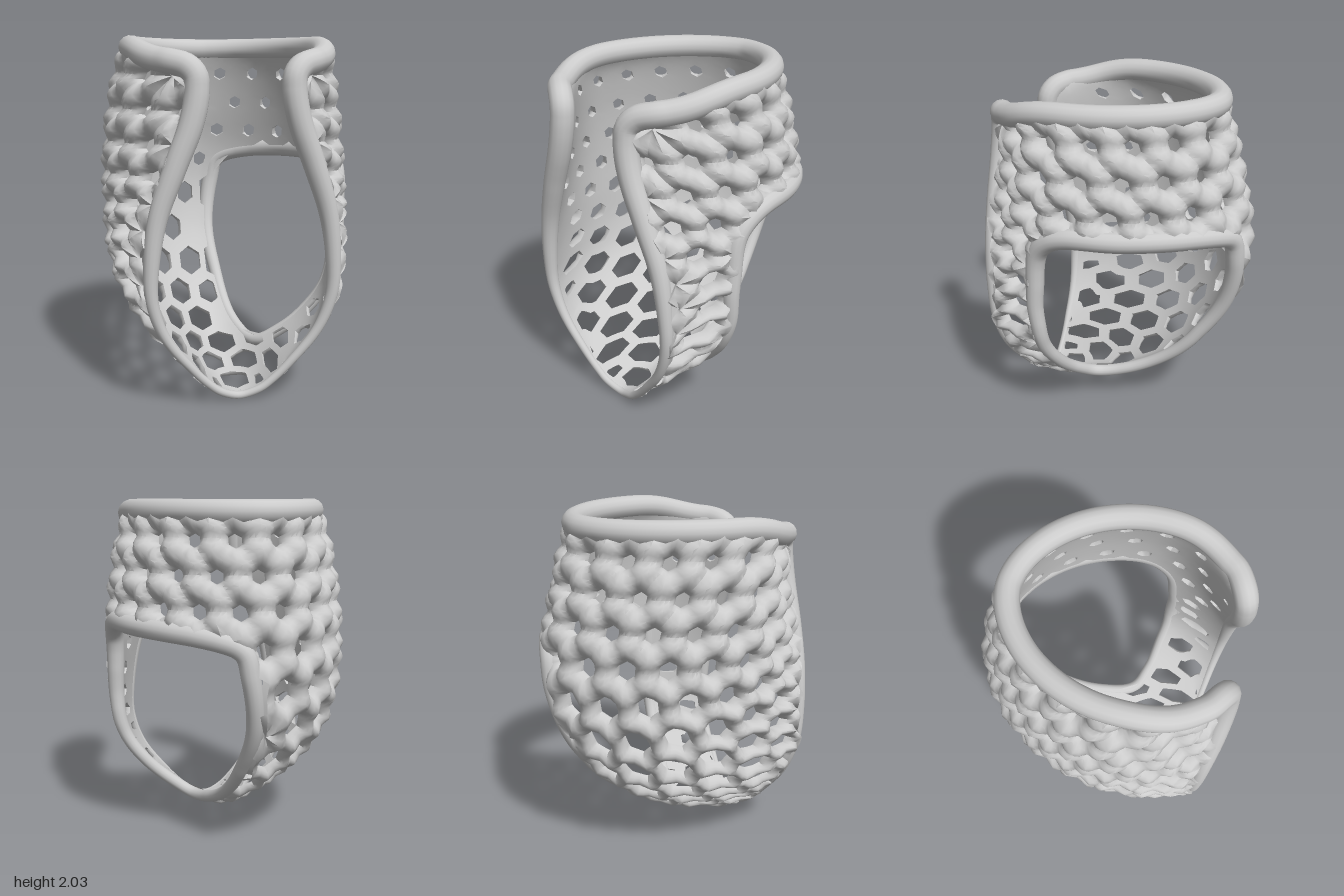
import * as THREE from 'three';
import { toCreasedNormals } from 'three/addons/utils/BufferGeometryUtils.js';

// Sections: y, half width, back z, z of widest point, front edge x, front edge z, rise of the lattice row toward the front
const SECTIONS = [
  [0.037, 0.02, 0.545, 0.555, 0.02, 0.56, 0],
  [0.06, 0.085, 0.39, 0.57, 0.085, 0.575, 0.065],
  [0.1, 0.145, 0.23, 0.575, 0.145, 0.585, 0.15],
  [0.2, 0.25, -0.03, 0.575, 0.245, 0.6, 0.26],
  [0.4, 0.445, -0.32, 0.42, 0.4, 0.625, 0.31],
  [0.6, 0.565, -0.48, 0.26, 0.47, 0.64, 0.27],
  [0.8, 0.605, -0.59, 0.16, 0.47, 0.645, 0.2],
  [1.05, 0.61, -0.65, 0.12, 0.43, 0.645, 0.1],
  [1.3, 0.61, -0.64, 0.12, 0.345, 0.65, 0.02],
  [1.55, 0.59, -0.58, 0.13, 0.255, 0.65, 0],
  [1.75, 0.555, -0.53, 0.15, 0.225, 0.64, 0],
  [1.86, 0.525, -0.495, 0.165, 0.26, 0.62, -0.005],
  [1.93, 0.485, -0.468, 0.17, 0.38, 0.57, -0.015],
];
const ROWS = SECTIONS.length, LEVELS = 200, STEPS = 48;
const { lerp, clamp, smoothstep } = THREE.MathUtils;

// Smooth interpolation of the section table at height y
function section(y) {
  let i = 0;
  while (i < ROWS - 2 && SECTIONS[i + 1][0] < y) i++;
  const a = SECTIONS[i], b = SECTIONS[i + 1], gap = b[0] - a[0], t = clamp((y - a[0]) / gap, 0, 1);
  const slope = (k, c) => {
    const lo = SECTIONS[Math.max(k - 1, 0)], hi = SECTIONS[Math.min(k + 1, ROWS - 1)];
    return (hi[c] - lo[c]) / (hi[0] - lo[0]) * gap;
  };
  return a.map((f, c) => {
    const d = b[c] - f, m = slope(i, c), n = slope(i + 1, c);
    return f + t * (m + t * (3 * d - 2 * m - n + t * (m + n - 2 * d)));
  });
}
// Point of a section; q runs 0 (spine) to 1 (front edge)
function sectionPoint(y, q) {
  const [, w, b, zc, xr, zr] = section(y);
  if (q < 0.6) {
    const a = q / 0.6 * Math.PI / 2;
    return new THREE.Vector3(w * Math.pow(Math.sin(a), 1.15), y, zc - (zc - b) * Math.cos(a));
  }
  const s = (q - 0.6) / 0.4;
  return new THREE.Vector3(w - (w - xr) * s * s, y, lerp(zc, zr, s));
}

// Half rows (spine to front edge) resampled by arc length, with a running height V
function buildLevels() {
  const levels = [];
  for (let k = 0; k <= LEVELS; k++) {
    const r = k / LEVELS * (ROWS - 1), i = Math.min(Math.floor(r), ROWS - 2);
    const y = lerp(SECTIONS[i][0], SECTIONS[i + 1][0], r - i), rise = section(y)[6];
    const raw = [], len = [0], pts = [];
    for (let j = 0; j <= 100; j++) {
      raw.push(sectionPoint(y + rise * Math.sin(j / 200 * Math.PI) ** 2, j / 100));
      if (j) len.push(len[j - 1] + raw[j].distanceTo(raw[j - 1]));
    }
    const L = len[100];
    for (let j = 0, n = 1; j <= STEPS; j++) {
      const d = L * j / STEPS;
      while (n < 100 && len[n] < d) n++;
      pts.push(raw[n - 1].clone().lerp(raw[n], clamp((d - len[n - 1]) / (len[n] - len[n - 1]), 0, 1)));
    }
    const prev = levels[k - 1];
    const V = prev ? prev.V + 0.5 * (pts[0].distanceTo(prev.pts[0]) + pts[STEPS].distanceTo(prev.pts[STEPS])) : 0;
    levels.push({ y, V, L, pts });
  }
  return levels;
}
const levels = buildLevels(), VMAX = levels[LEVELS].V;

function locate(v) {
  let lo = 0, hi = LEVELS;
  while (hi - lo > 1) {
    const m = (lo + hi) >> 1;
    if (levels[m].V <= v) lo = m; else hi = m;
  }
  return [lo, clamp((v - levels[lo].V) / (levels[hi].V - levels[lo].V), 0, 1)];
}
function halfLength(v) {
  const [k, f] = locate(v);
  return lerp(levels[k].L, levels[k + 1].L, f);
}

// Point on the shell; s runs -1..1 across, v is height along the shell
function surface(s, v) {
  const [k, f] = locate(v);
  const q = Math.min(Math.abs(s), 1) * STEPS, j = Math.min(Math.floor(q), STEPS - 1);
  const at = l => l.pts[j].clone().lerp(l.pts[j + 1], q - j);
  const p = at(levels[k]).lerp(at(levels[k + 1]), f);
  if (s < 0) p.x *= -1;
  return p;
}
function shellPoint(s, v, offset) {
  const p = surface(s, v);
  const ds = surface(Math.min(s + 0.03, 1), v).sub(surface(Math.max(s - 0.03, -1), v));
  const dv = surface(s, Math.min(v + 0.03, VMAX)).sub(surface(s, Math.max(v - 0.03, 0)));
  return p.addScaledVector(dv.cross(ds).normalize(), offset);
}

// Side window outline in space, laid onto the shell as (distance from spine, v)
const WINDOW = [[0.24, 1.29, -0.6], [0.55, 1.315, -0.2], [0.61, 1.29, 0.14], [0.61, 1.17, 0.27], [0.6, 0.9, 0.275],
  [0.58, 0.65, 0.27], [0.46, 0.42, 0.26], [0.33, 0.28, 0.21], [0.18, 0.195, 0.12], [0.1, 0.25, -0.1],
  [0.045, 0.5, -0.4], [0.04, 0.8, -0.59], [0.07, 1.08, -0.65], [0.12, 1.22, -0.64]];
function layOnShell([x, y, z]) {
  const target = new THREE.Vector3(x, y, z), best = new THREE.Vector3();
  let dist = Infinity;
  for (const l of levels) l.pts.forEach((p, j) => {
    const d = p.distanceTo(target);
    if (d < dist) { dist = d; best.set(l.L * j / STEPS, l.V, 0); }
  });
  return best;
}
const windowLoop = new THREE.CatmullRomCurve3(WINDOW.map(layOnShell), true).getPoints(168).slice(0, -1);

function inWindow([x, v]) {
  let inside = false;
  windowLoop.forEach((a, i) => {
    const b = windowLoop[(i + 1) % windowLoop.length];
    if ((a.y > v) !== (b.y > v) && x < a.x + (b.x - a.x) * (v - a.y) / (b.y - a.y)) inside = !inside;
  });
  return inside;
}
const outside = ([x, v]) => v < 0 || v > VMAX || Math.abs(x) > halfLength(v) || inWindow([x, v]);

// Moves a lattice corner onto the nearest border; the third entry marks moved corners
function fit(corner) {
  if (!outside(corner)) return [...corner, false];
  const v = clamp(corner[1], 0, VMAX), L = halfLength(v), p = [clamp(corner[0], -L, L), v, true];
  if (!inWindow(p)) return p;
  let dist = Infinity, best = p;
  for (const q of windowLoop) {
    const d = Math.hypot(q.x - p[0], q.y - p[1]);
    if (d < dist) { dist = d; best = [q.x, q.y, true]; }
  }
  return best;
}

// Honeycomb: every cell is a ring of loops from the domed crest to its hole and back along the inside
function latticeGeometry() {
  const PX = 0.22, PV = 0.19, H = PV / 0.75, SUB = 4, pos = [];
  const v0 = levels.find(l => l.y >= 1.6).V;
  const corners = [[0, -0.5], [0.5, -0.25], [0.5, 0.25], [0, 0.5], [-0.5, 0.25], [-0.5, -0.25]];
  for (let row = -14; row <= 4; row++) for (let col = -9; col <= 9; col++) {
    const cx = (col + (row & 1 ? 0.5 : 0)) * PX, cv = v0 + row * PV, ring = [];
    corners.forEach((a, i) => {
      const b = corners[(i + 1) % 6];
      for (let k = 0; k < SUB; k++)
        ring.push([cx + PX * lerp(a[0], b[0], k / SUB), cv + H * lerp(a[1], b[1], k / SUB)]);
    });
    const kept = ring.filter(p => !outside(p)).length;
    if (!kept || (inWindow([cx, cv]) && kept < 9)) continue;
    const cell = ring.map(fit), n = cell.length;
    const c = [0, 1].map(k => cell.reduce((sum, p) => sum + p[k], 0) / n);
    const radius = Math.min(...cell.map(p => Math.hypot(p[0] - c[0], p[1] - c[1])));
    const height = surface(c[0] / halfLength(c[1]), c[1]).y;
    const strut = lerp(0.028, 0.074, smoothstep(height, 0.1, 1.7));
    let hole = 1 - strut / Math.max(radius, 1e-4);
    const solid = hole < 0.2;
    if (solid) hole = 0;
    const loop = (p, dome) => cell.map((q, i) => {
      const f = lerp(1, hole, p), x = lerp(c[0], q[0], f), v = lerp(c[1], q[1], f);
      const s = clamp(x / halfLength(v), -1, 1);
      const crest = lerp(0.045, 0.108, smoothstep(surface(s, v).y, 0.05, 1.1));
      const h = crest * (q[2] ? 0.7 : 0.87 + 0.13 * Math.cos(i / SUB * 2 * Math.PI));
      return shellPoint(s, v, h * dome);
    });
    const loops = [0, 0.3, 0.6, 0.85, 1].map(p => loop(p, solid ? 1 - 0.3 * p * p : Math.sqrt(1 - 0.94 * p * p)));
    loops.push(loop(1, 0), loop(0.5, 0), loop(0, 0));
    for (let k = 0; k < loops.length - 1; k++) for (let i = 0; i < n; i++) {
      const A = loops[k], B = loops[k + 1], j = (i + 1) % n;
      for (const p of [A[i], B[j], A[j], A[i], B[i], B[j]]) pos.push(p.x, p.y, p.z);
    }
  }
  const g = new THREE.BufferGeometry();
  g.setAttribute('position', new THREE.Float32BufferAttribute(pos, 3));
  return toCreasedNormals(g, 0.9);
}

// Closed rounded border whose radius depends on height
function border(points, segments, radiusAt) {
  const curve = new THREE.CatmullRomCurve3(points, true, 'centripetal');
  const g = new THREE.TubeGeometry(curve, segments, 0.04, 14, true);
  const p = g.attributes.position, nrm = g.attributes.normal;
  for (let i = 0; i < p.count; i++) {
    const d = radiusAt(p.getY(i) - 0.04 * nrm.getY(i)) - 0.04;
    p.setXYZ(i, p.getX(i) + d * nrm.getX(i), p.getY(i) + d * nrm.getY(i), p.getZ(i) + d * nrm.getZ(i));
  }
  return g;
}
const rimRadius = y => lerp(0.022, 0.067, smoothstep(y, 0, 1.7));
const windowRadius = y => lerp(0.036, 0.058, smoothstep(y, 0.2, 1.4));

export function createModel() {
  const group = new THREE.Group();
  const material = new THREE.MeshStandardMaterial({ color: 0xcccccc, side: THREE.DoubleSide });
  const add = (name, geometry) => {
    const mesh = new THREE.Mesh(geometry, material);
    mesh.name = name;
    group.add(mesh);
  };
  add('honeycombShell', latticeGeometry());

  // Rim: up one front edge, around the top, down the other front edge
  const rimPoint = (s, v) => shellPoint(s, v, 0.85 * rimRadius(surface(s, v).y));
  const rim = [];
  for (let i = 0; i <= 30; i++) rim.push(rimPoint(1, VMAX * i / 30));
  for (let i = 1; i < 40; i++) rim.push(rimPoint(1 - i / 20, VMAX));
  for (let i = 30; i >= 0; i--) rim.push(rimPoint(-1, VMAX * i / 30));
  add('outerRim', border(rim, 360, rimRadius));

  // Window border
  const edge = windowLoop.filter((_, i) => i % 3 === 0).map(q => {
    const s = q.x / halfLength(q.y);
    return shellPoint(s, q.y, 0.9 * windowRadius(surface(s, q.y).y));
  });
  add('windowRim', border(edge, 220, windowRadius));
  return group;
}
